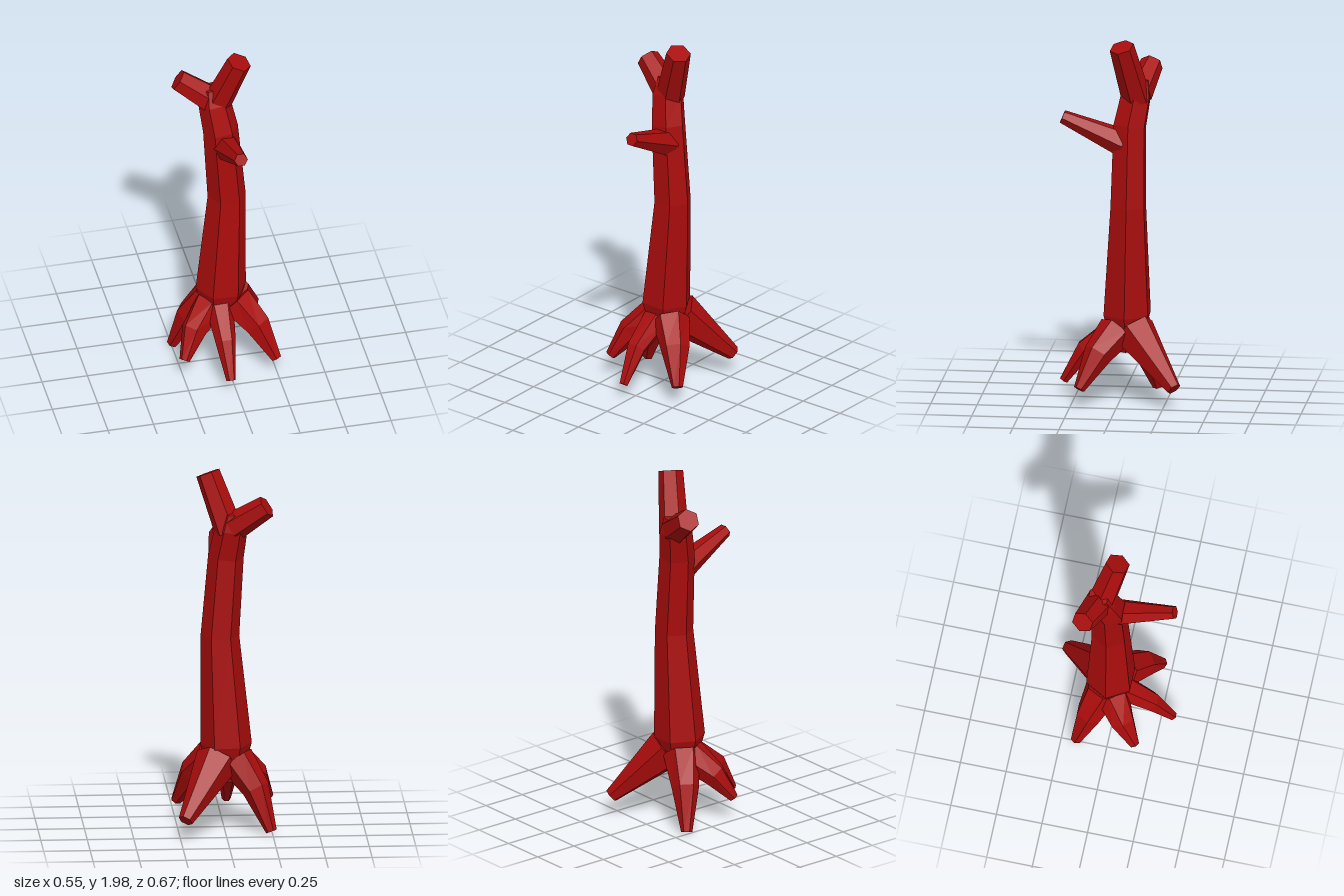
import * as THREE from 'three';

const SIDES = 6;
const bark = new THREE.MeshStandardMaterial({ color: 0xa80c0c, flatShading: true, roughness: 0.9 });

// Faceted closed limb through rings [x, y, z, radius]; spin turns the hexagon about its axis
function limb(name, rings, spin = 0) {
  const centres = rings.map(([x, y, z]) => new THREE.Vector3(x, y, z));
  const up = new THREE.Vector3(0, 1, 0);
  const last = rings.length - 1;
  const loops = rings.map((ring, k) => {
    const dir = new THREE.Vector3();
    if (k > 0) dir.add(centres[k].clone().sub(centres[k - 1]).normalize());
    if (k < last) dir.add(centres[k + 1].clone().sub(centres[k]).normalize());
    const turn = new THREE.Quaternion().setFromUnitVectors(up, dir.normalize());
    return Array.from({ length: SIDES }, (_, i) => {
      const a = spin + (i / SIDES) * Math.PI * 2;
      return new THREE.Vector3(Math.cos(a), 0, Math.sin(a))
        .multiplyScalar(ring[3]).applyQuaternion(turn).add(centres[k]);
    });
  });

  const corners = [];
  for (let i = 0; i < SIDES; i++) {
    const j = (i + 1) % SIDES;
    for (let k = 0; k < last; k++) {
      const lo = loops[k], hi = loops[k + 1];
      corners.push(lo[i], hi[i], lo[j], hi[i], hi[j], lo[j]);
    }
    corners.push(centres[0], loops[0][i], loops[0][j]);
    corners.push(centres[last], loops[last][j], loops[last][i]);
  }
  const geometry = new THREE.BufferGeometry().setFromPoints(corners);
  geometry.computeVertexNormals();
  const mesh = new THREE.Mesh(geometry, bark);
  mesh.name = name;
  return mesh;
}

export function createModel() {
  const tree = new THREE.Group();
  tree.name = 'bareTree';

  // Trunk, leaning slightly and narrowing to the fork
  tree.add(limb('trunk', [
    [-0.01, 0.28, -0.03, 0.08],
    [-0.01, 0.48, -0.03, 0.138],
    [0.024, 1.08, -0.04, 0.104],
    [-0.008, 1.52, -0.045, 0.096],
    [-0.035, 1.68, -0.075, 0.088],
    [-0.045, 1.77, -0.09, 0.06],
  ]));

  // Sawn-off branches
  const branches = new THREE.Group();
  branches.name = 'branches';
  branches.add(
    limb('topBranch', [[-0.025, 1.66, -0.08, 0.08], [0.087, 1.972, -0.012, 0.067]], 0.25),
    limb('rightBranch', [[-0.045, 1.69, -0.085, 0.08], [-0.222, 1.812, -0.14, 0.062]], 0.3),
    limb('frontBranch', [[0.01, 1.425, -0.01, 0.078], [0.024, 1.565, 0.315, 0.037]], 0),
  );
  tree.add(branches);

  // Splayed roots, some with a knee
  const roots = new THREE.Group();
  roots.name = 'roots';
  roots.add(
    limb('backLeftRoot', [[0.04, 0.40, -0.07, 0.12], [0.225, 0.125, -0.31, 0.04]], 0.2),
    limb('backRightRoot', [[-0.06, 0.40, -0.06, 0.1], [-0.165, 0.25, -0.115, 0.075], [-0.245, 0.025, -0.17, 0.03]]),
    limb('frontRightRoot', [[-0.07, 0.38, -0.01, 0.095], [-0.18, 0.28, 0.07, 0.07], [-0.25, 0.145, 0.15, 0.028]]),
    limb('frontRoot', [[-0.03, 0.38, 0.04, 0.075], [-0.035, 0.27, 0.2, 0.055], [-0.032, 0.095, 0.315, 0.025]]),
    limb('frontLeftRoot', [[0.06, 0.40, 0.02, 0.1], [0.16, 0.29, 0.11, 0.078], [0.245, 0.115, 0.2, 0.03]]),
  );
  tree.add(roots);

  return tree;
}
